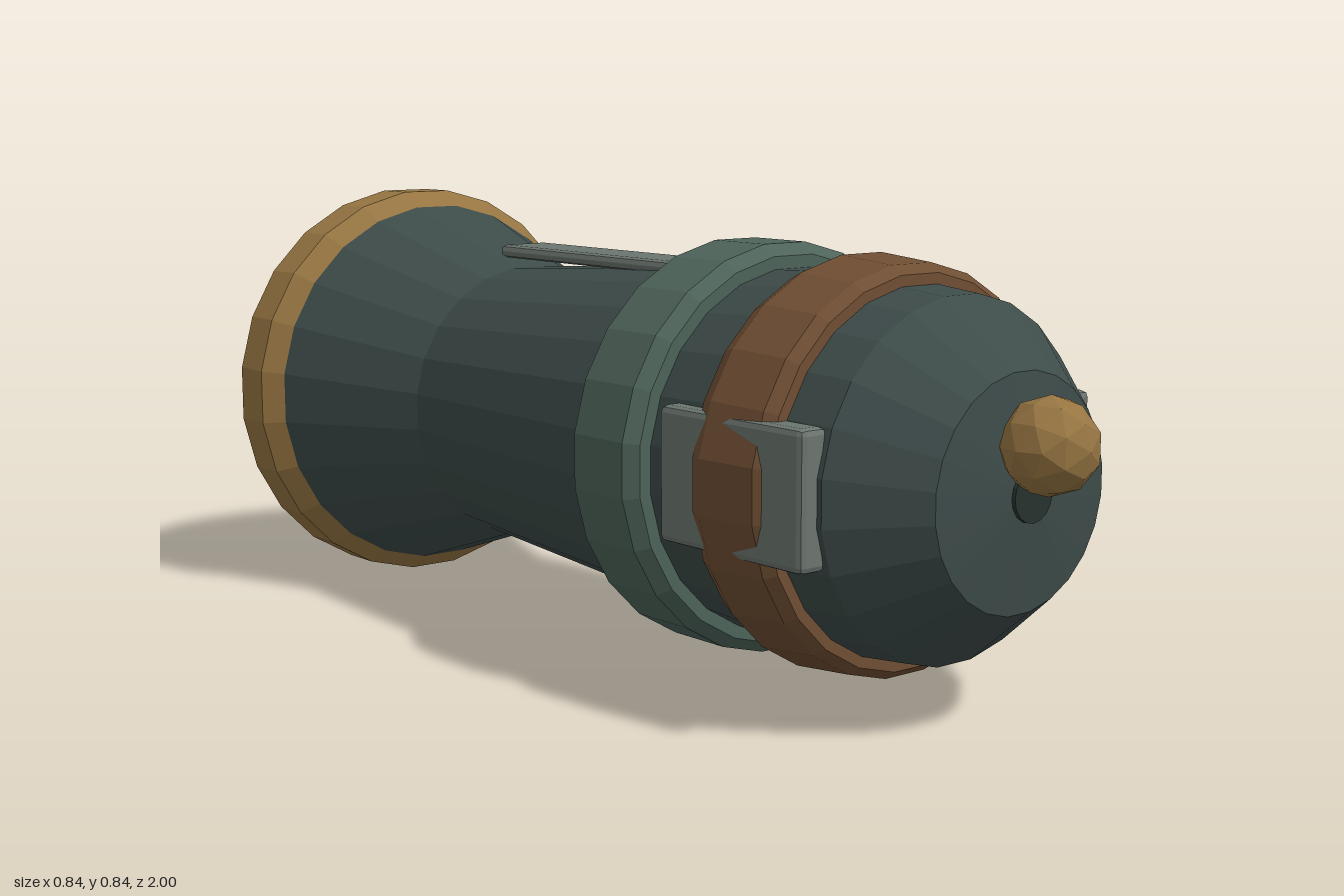
import * as THREE from 'three';
import { RoundedBoxGeometry } from 'three/addons/geometries/RoundedBoxGeometry.js';

const SIDES = 24;
const HALF_STEP = Math.PI / SIDES;
const AXIS_Y = 0.422;

const paint = (color) => new THREE.MeshStandardMaterial({ color, flatShading: true });
const iron = paint(0x3d4b49);
const green = paint(0x4d6359);
const brass = paint(0x967542);
const copper = paint(0x6f4e33);
const steel = paint(0x6b756f);
const dark = paint(0x26332f);

// Turned part along z; points are [flat-to-centre radius, z]
function turned(name, points, material) {
  const profile = points.map(([r, z]) => new THREE.Vector2(r / Math.cos(HALF_STEP), z));
  const geometry = new THREE.LatheGeometry(profile, SIDES, HALF_STEP);
  geometry.rotateX(Math.PI / 2);
  const mesh = new THREE.Mesh(geometry, material);
  mesh.name = name;
  mesh.position.y = AXIS_Y;
  return mesh;
}

// Box with a single small bevel
function plate(name, size, position) {
  const mesh = new THREE.Mesh(new RoundedBoxGeometry(...size, 1, 0.012), steel);
  mesh.name = name;
  mesh.position.set(...position);
  return mesh;
}

export function createModel() {
  const cannon = new THREE.Group();
  cannon.name = 'cannon';

  // Barrel: bore, flared muzzle, tapered tube and domed breech
  cannon.add(turned('barrel', [
    [0.225, -0.72], [0.225, -0.96], [0.38, -0.96], [0.388, -0.84], [0.278, -0.5],
    [0.32, 0.13], [0.336, 0.46], [0.312, 0.72], [0.2, 0.86], [0, 0.884],
  ], iron));
  cannon.add(turned('boreFloor', [[0, -0.72], [0.225, -0.72]], dark));

  // Bands around the barrel
  cannon.add(turned('muzzleRing', [
    [0.225, -0.96], [0.235, -1], [0.395, -1], [0.42, -0.965], [0.42, -0.88],
    [0.388, -0.84], [0.225, -0.84], [0.225, -0.96],
  ], brass));
  cannon.add(turned('middleBand', [
    [0.3, 0.13], [0.352, 0.13], [0.373, 0.155], [0.373, 0.29], [0.352, 0.313], [0.3, 0.313],
  ], green));
  cannon.add(turned('breechBand', [
    [0.3, 0.45], [0.35, 0.45], [0.366, 0.485], [0.356, 0.605], [0.34, 0.625], [0.3, 0.625],
  ], copper));

  // Side plates
  for (const side of [1, -1]) {
    cannon.add(plate(side > 0 ? 'leftPlate' : 'rightPlate',
      [0.057, 0.235, 0.355], [side * 0.318, 0.426, 0.533]));
  }

  // Sighting strip on top
  cannon.add(plate('sightStrip', [0.116, 0.026, 0.645], [0, 0.735, -0.197]));

  // Breech stud and knob
  const stud = new THREE.Mesh(new THREE.CylinderGeometry(0.045, 0.045, 0.02, 16), dark);
  stud.name = 'breechStud';
  stud.rotation.x = Math.PI / 2;
  stud.position.set(0, AXIS_Y, 0.876);
  cannon.add(stud);

  const knob = new THREE.Mesh(new THREE.IcosahedronGeometry(0.083, 1), brass);
  knob.name = 'knob';
  knob.position.set(0, 0.508, 0.917);
  cannon.add(knob);

  return cannon;
}
